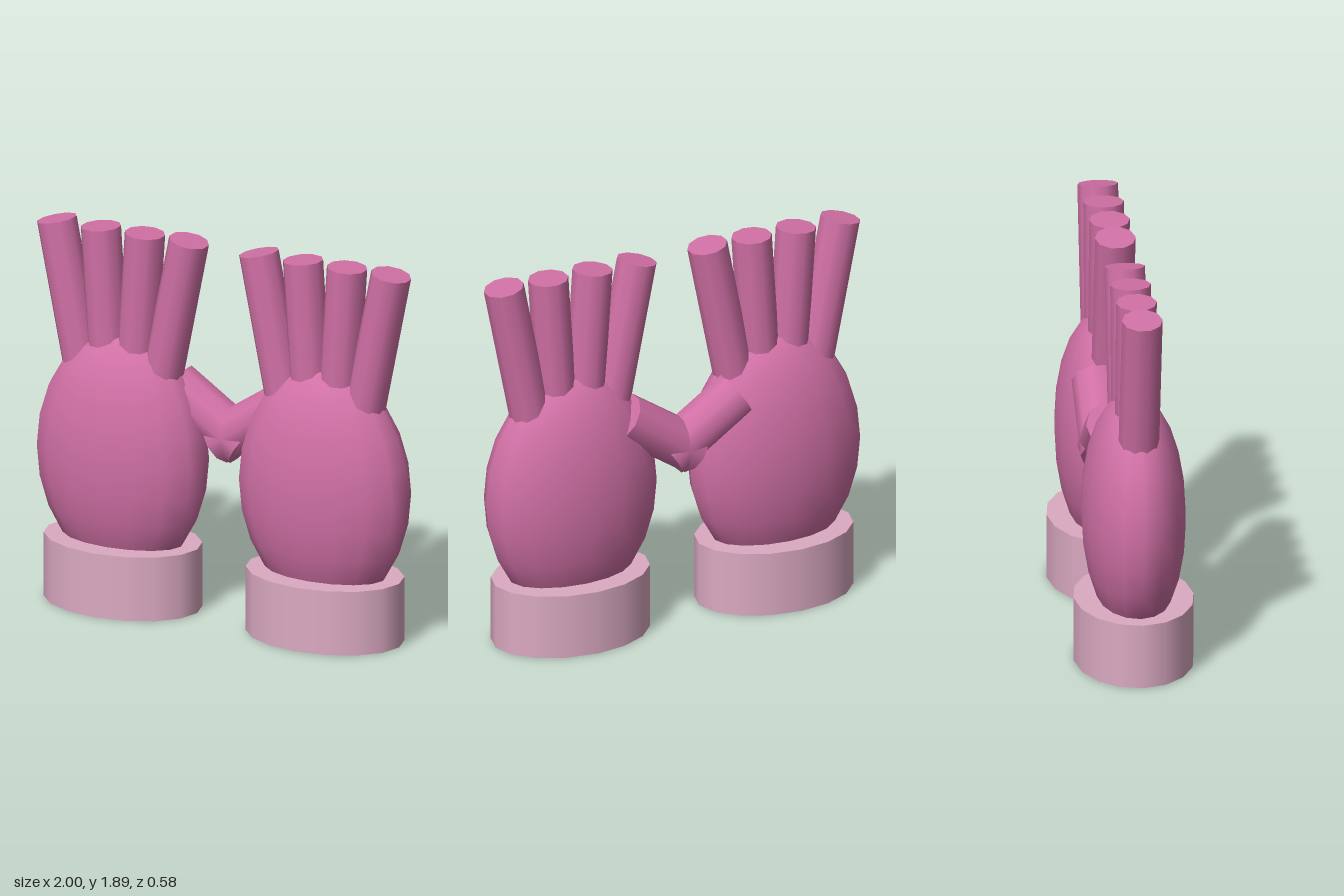
import * as THREE from 'three';

const pink = new THREE.MeshStandardMaterial({ color: 0xd070a5 });
const pale = new THREE.MeshStandardMaterial({ color: 0xdbaac2 });

function addMesh(parent, name, geometry, material) {
  const mesh = new THREE.Mesh(geometry, material);
  mesh.name = name;
  parent.add(mesh);
  return mesh;
}

// Straight cylinder running from point a to point b in the xy plane at depth z
function rod(parent, name, a, b, z, radius) {
  const dx = b[0] - a[0], dy = b[1] - a[1];
  const geometry = new THREE.CylinderGeometry(radius, radius, Math.hypot(dx, dy), 10);
  const mesh = addMesh(parent, name, geometry, pink);
  mesh.position.set((a[0] + b[0]) / 2, (a[1] + b[1]) / 2, z);
  mesh.rotation.z = -Math.atan2(dx, dy);
  return mesh;
}

// One hand; side is +1 for left, -1 for right
function createHand(side) {
  const hand = new THREE.Group();
  hand.name = side > 0 ? 'leftHand' : 'rightHand';
  hand.position.x = side * 0.548;

  // Oval cuff at the wrist
  const cuff = addMesh(hand, 'cuff', new THREE.CylinderGeometry(1, 1, 0.32, 16), pale);
  cuff.scale.set(0.402, 1, 0.288);
  cuff.position.y = 0.16;

  // Flattened egg-shaped palm
  const palm = addMesh(hand, 'palm', new THREE.SphereGeometry(1, 16, 12), pink);
  palm.scale.set(0.45, 0.6, 0.25);
  palm.position.y = 0.75;

  // Four fanned fingers
  for (let i = 0; i < 4; i++) {
    const k = i - 1.5;
    const tilt = k * 0.1333;
    const top = [k * 0.239, 1.868];
    const length = 0.75;
    const base = [top[0] - Math.sin(tilt) * length, top[1] - Math.cos(tilt) * length];
    rod(hand, 'finger', base, top, 0, 0.098);
  }

  // Thumb behind the palm, crossing the centre line
  rod(hand, 'thumb', [side * -0.618, 0.86], [side * -0.248, 1.104], -0.08, 0.118);
  return hand;
}

export function createModel() {
  const model = new THREE.Group();
  model.name = 'pairOfHands';
  for (const side of [1, -1]) model.add(createHand(side));
  return model;
}
